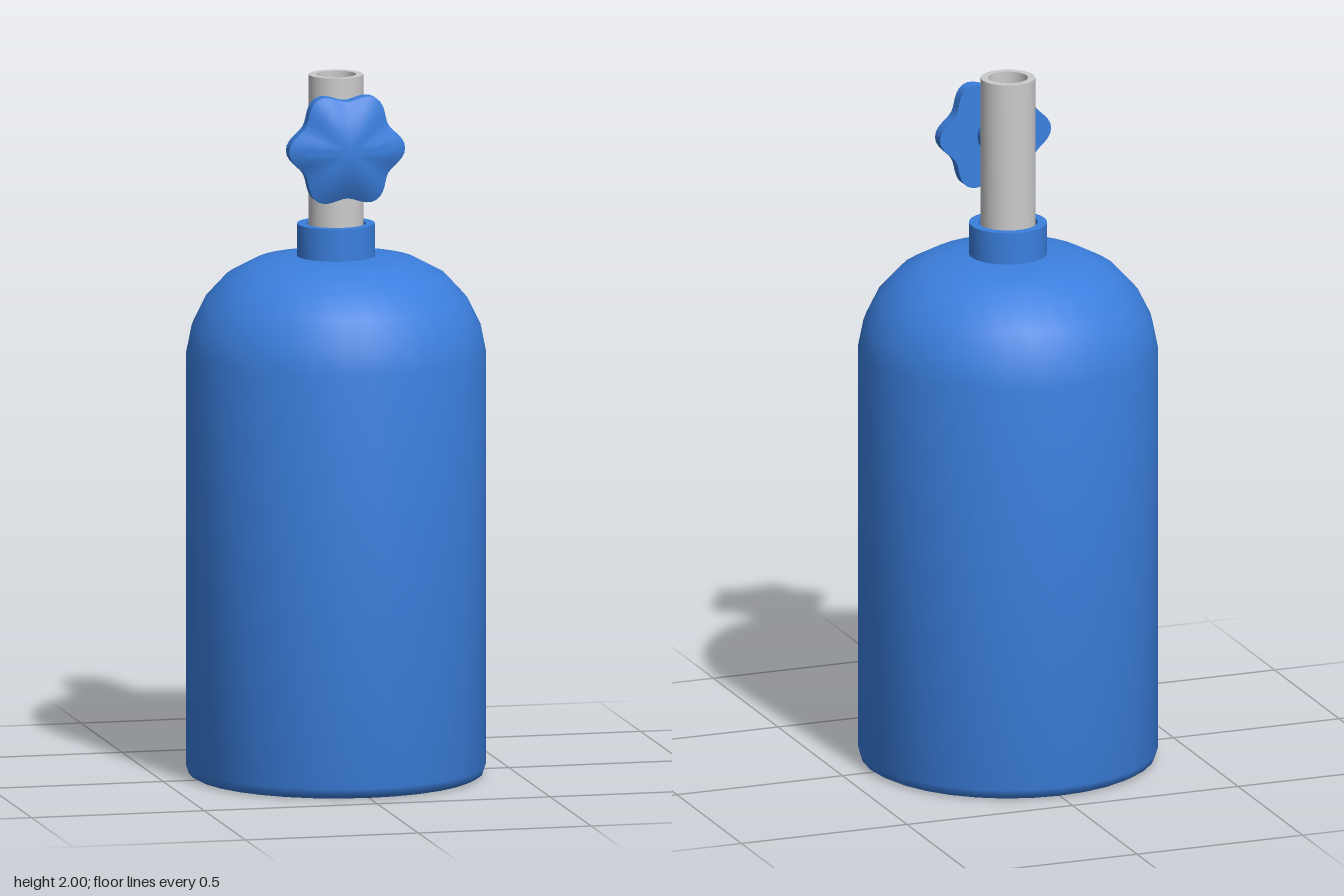
import * as THREE from 'three';
import { toCreasedNormals } from 'three/addons/utils/BufferGeometryUtils.js';

const blue = new THREE.MeshStandardMaterial({ color: 0x3b7fde });
const grey = new THREE.MeshStandardMaterial({ color: 0xcccccc });

// Solid of revolution from [radius, height] pairs, listed from the bottom centre upwards
function turned(points, segments) {
  return new THREE.LatheGeometry(points.map(([r, y]) => new THREE.Vector2(r, y)), segments);
}

function addPart(group, name, geometry, material, crease = 0.7) {
  const mesh = new THREE.Mesh(toCreasedNormals(geometry, crease), material);
  mesh.name = name;
  group.add(mesh);
  return mesh;
}

export function createModel() {
  const model = new THREE.Group();
  model.name = 'gasCylinder';

  // Tank with softened base and domed shoulder
  addPart(model, 'tank', turned([
    [0, 0], [0.4, 0], [0.415, 0.008], [0.422, 0.03], [0.422, 1.21],
    [0.407, 1.285], [0.37, 1.36], [0.31, 1.425], [0.23, 1.468], [0.15, 1.482], [0, 1.485],
  ], 32), blue, 0.9);

  // Hollow neck collar
  addPart(model, 'neckCollar', turned([
    [0, 1.47], [0.11, 1.47], [0.11, 1.575], [0.084, 1.575], [0.084, 1.49], [0, 1.49],
  ], 32), blue);

  // Open outlet pipe
  addPart(model, 'outletPipe', turned([
    [0, 1.48], [0.077, 1.48], [0.077, 2], [0.056, 2], [0.056, 1.6], [0, 1.6],
  ], 32), grey);

  // Valve handwheel: stem and six-lobed domed knob facing the front
  const valve = new THREE.Group();
  valve.name = 'valve';
  valve.position.y = 1.805;
  model.add(valve);

  const stem = new THREE.CylinderGeometry(0.055, 0.055, 0.06, 24);
  stem.rotateX(Math.PI / 2).translate(0, 0, 0.08);
  addPart(valve, 'valveStem', stem, blue);

  const profile = [[0, 0.096], [0.168, 0.096], [0.168, 0.135]];
  for (let i = 1; i <= 6; i++) {
    const t = 1 - i / 6;
    profile.push([0.168 * t, 0.135 + 0.041 * (1 - t * t)]);
  }
  const knob = turned(profile, 72);
  const p = knob.attributes.position;
  for (let i = 0; i < p.count; i++) {
    const x = p.getX(i), z = p.getZ(i);
    const s = 0.91 + 0.09 * Math.cos(6 * Math.atan2(z, x));
    p.setX(i, x * s);
    p.setZ(i, z * s);
  }
  knob.rotateX(Math.PI / 2);
  addPart(valve, 'valveKnob', knob, blue);

  return model;
}
